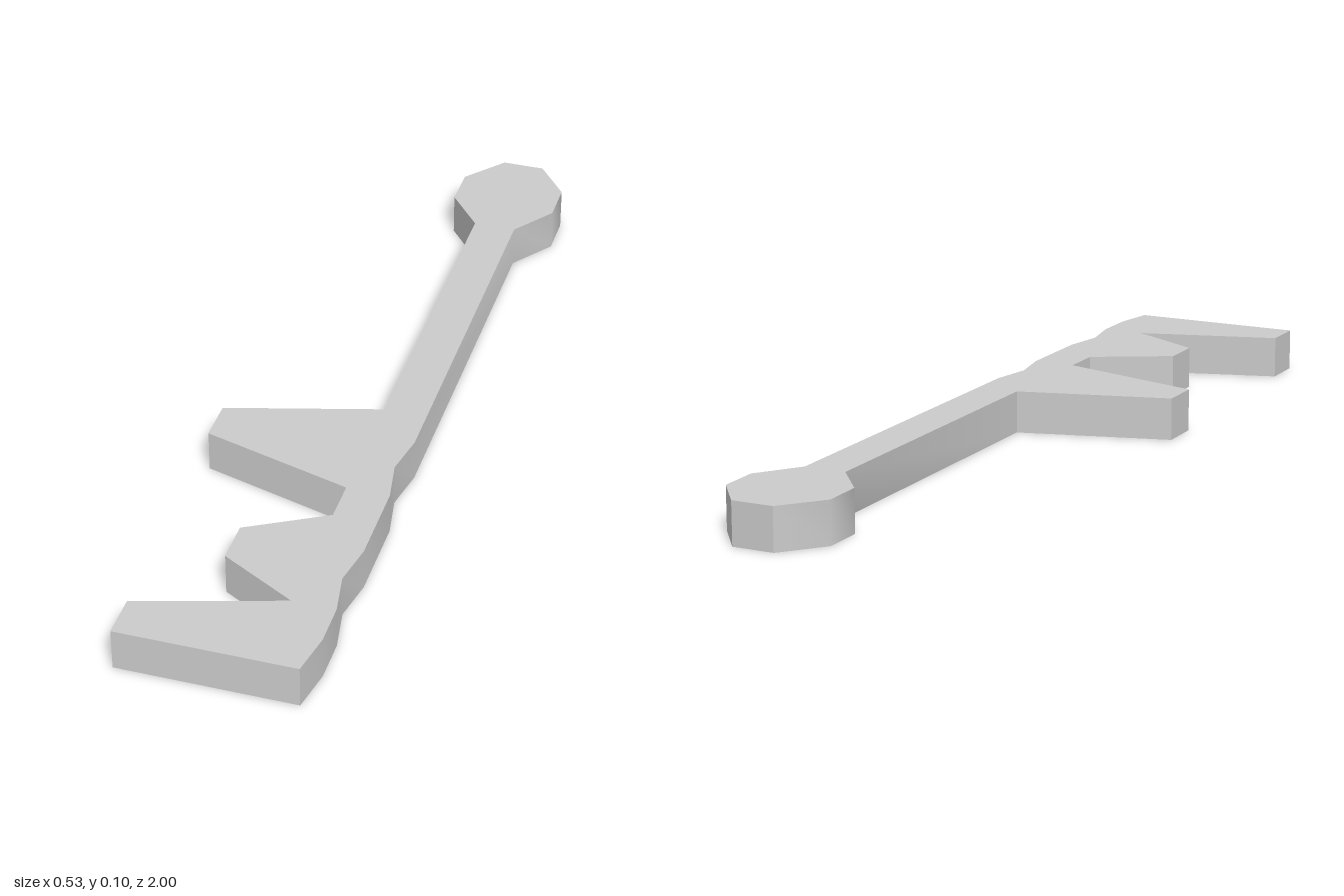
import * as THREE from 'three';
import { toCreasedNormals } from 'three/addons/utils/BufferGeometryUtils.js';

const THICKNESS = 0.1;
const SPINE_LEFT = 0.19;   // plain long edge
const SPINE_RIGHT = 0.09;  // toothed edge
const DIP = 0.172;         // shallow notches in the plain edge

export function createModel() {
  const group = new THREE.Group();
  group.name = 'key';

  // Outline as [x, z] points
  const head = [
    [SPINE_RIGHT, -0.705], [0.01, -0.805], [0.01, -0.905], [SPINE_RIGHT, -1],
    [SPINE_LEFT, -1], [0.263, -0.905], [0.263, -0.805], [SPINE_LEFT, -0.705],
  ];
  const wavyEdge = [
    [SPINE_LEFT, 0.2], [DIP, 0.3], [SPINE_LEFT, 0.4],
    [SPINE_LEFT, 0.6], [DIP, 0.7], [SPINE_LEFT, 0.8],
    [SPINE_LEFT, 0.9], [DIP, 1],
  ];
  // Tapered teeth, from the end of the shaft back towards the head
  const tooth = (tip, z) => [
    [SPINE_RIGHT, z + 0.3], [tip, z + 0.2], [tip, z + 0.1], [SPINE_RIGHT, z],
  ];
  const teeth = [
    [-0.24, 1], [-0.24, 0.9], [SPINE_RIGHT, 0.8],
    ...tooth(-0.09, 0.5),
    ...tooth(-0.265, 0.1),
  ].filter((p, i) => i !== 3); // end tooth and middle tooth share a root point

  const outline = [...head, ...wavyEdge, ...teeth];
  const shape = new THREE.Shape(outline.map(([x, z]) => new THREE.Vector2(x, -z)));

  // Flat plate lying on the ground
  const plate = new THREE.ExtrudeGeometry(shape, { depth: THICKNESS, bevelEnabled: false });
  plate.rotateX(-Math.PI / 2);

  const mesh = new THREE.Mesh(
    toCreasedNormals(plate, 0.7),
    new THREE.MeshStandardMaterial({ color: 0xcccccc })
  );
  mesh.name = 'toothedShaftWithHead';
  group.add(mesh);
  return group;
}
